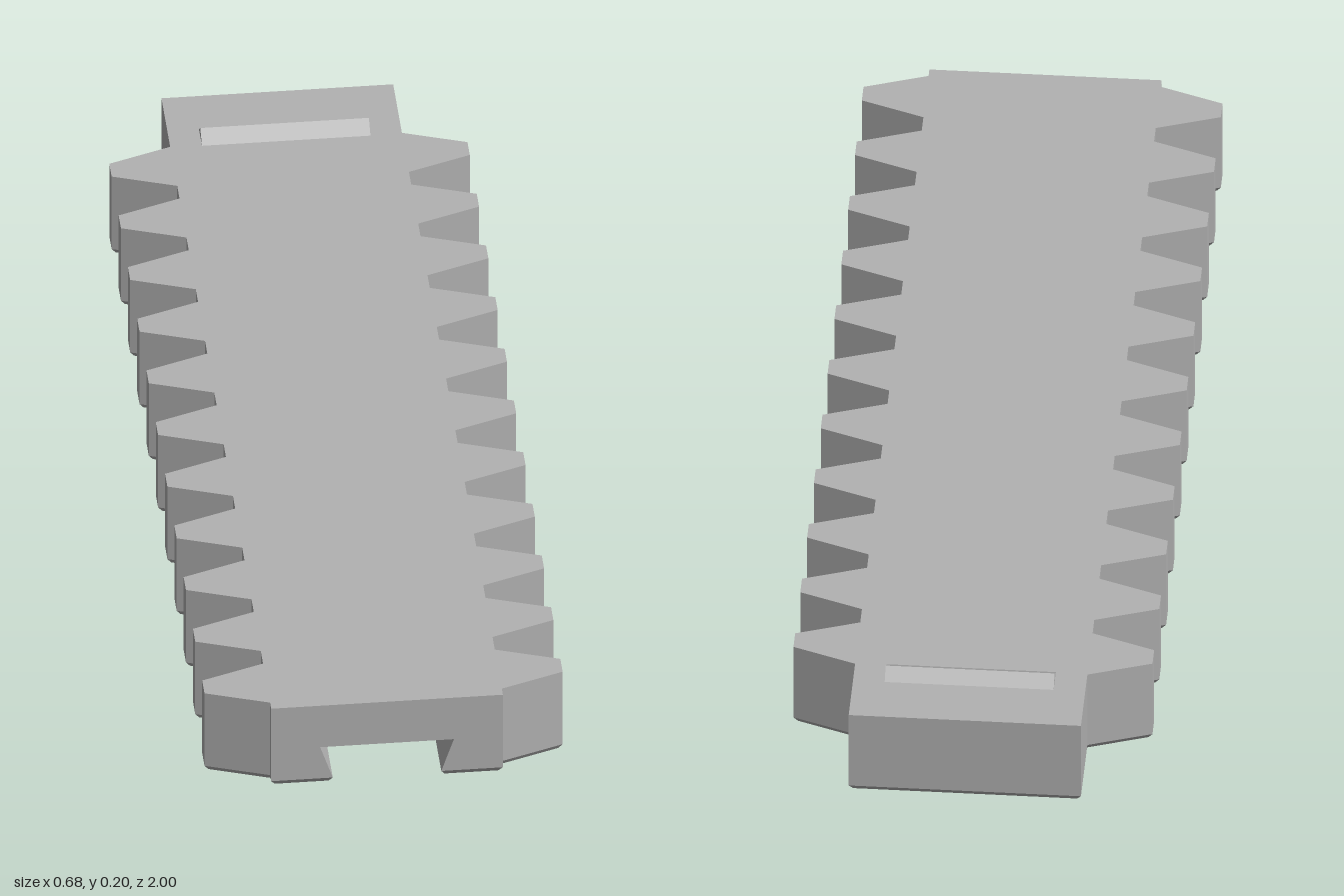
import * as THREE from 'three';

const HALF_W = 0.22, TIP_X = 0.34, TOP = 0.18, CHAMFER = 0.012;
const TEETH = 11, FIRST = -0.777, PITCH = 0.1693, ROOT = 0.064, TIP = 0.021;
const SLOT_END = -0.75, SLOT_TOP = 0.084;

// Toothed outline as [x, z], counter-clockwise from above, shrunk by d
function toothedOutline(d) {
  const right = [[HALF_W - d, 1 - d]];
  for (let i = TEETH - 1; i >= 0; i--) {
    const z = FIRST + i * PITCH, root = ROOT - 0.7 * d, tip = TIP - 0.7 * d;
    right.push([HALF_W - d, z + root], [TIP_X - d, z + tip], [TIP_X - d, z - tip], [HALF_W - d, z - root]);
  }
  right.push([HALF_W - d, -1 + d]);
  const left = right.map(([x, z]) => [-x, z]).reverse();
  return [...right, ...left];
}

// Notch cut into the front edge, continuing the outline
function slotOutline(half, end, front) {
  return [[-half, front], [-half, end], [half, end], [half, front]];
}

function buildBody() {
  const pos = [];
  const tri = (...points) => points.forEach((p) => pos.push(...p));
  const quad = (a, b, c, d) => tri(a, b, c, a, c, d);
  const at = ([x, z], y) => [x, y, z];

  // walls between two matching closed loops
  const walls = (low, y0, high, y1) => low.forEach((p, i) => {
    const j = (i + 1) % low.length;
    quad(at(p, y0), at(low[j], y0), at(high[j], y1), at(high[i], y1));
  });
  // flat cap facing up or down
  const cap = (loop, y, up) => {
    const flat = loop.map(([x, z]) => new THREE.Vector2(x, -z));
    for (const [a, b, c] of THREE.ShapeUtils.triangulateShape(flat, [])) {
      const order = up ? [a, b, c] : [a, c, b];
      tri(...order.map((k) => at(loop[k], y)));
    }
  };

  const full = toothedOutline(0);
  const inset = 0.008;
  const foot = [...toothedOutline(inset), ...slotOutline(0.11, SLOT_END - inset, 1 - inset)];
  const lip = [...full, ...slotOutline(0.103, SLOT_END, 1)];
  const shoulder = [...full, ...slotOutline(0.127, SLOT_END, 1)];

  cap(foot, 0, false);
  walls(foot, 0, lip, CHAMFER);                 // bottom chamfer
  walls(lip, CHAMFER, shoulder, SLOT_TOP);      // sides and undercut slot
  walls(full, SLOT_TOP, full, TOP);             // sides above the slot
  cap(full, TOP, true);
  const ceiling = slotOutline(0.127, SLOT_END, 1).map((p) => at(p, SLOT_TOP));
  quad(...ceiling);                             // slot ceiling, facing down

  const geometry = new THREE.BufferGeometry();
  geometry.setAttribute('position', new THREE.Float32BufferAttribute(pos, 3));
  geometry.computeVertexNormals();
  return geometry;
}

// Small triangular catch across the rear of the top
function buildCatch() {
  const profile = new THREE.Shape([
    new THREE.Vector2(0.838, 0), new THREE.Vector2(0.893, 0), new THREE.Vector2(0.868, 0.02),
  ]);
  const geometry = new THREE.ExtrudeGeometry(profile, { depth: 0.32, bevelEnabled: false });
  return geometry.translate(0, 0, -0.16).rotateY(Math.PI / 2).rotateY(0);
}

export function createModel() {
  const grey = new THREE.MeshStandardMaterial({ color: 0xb2b2b2 });
  grey.name = 'grey';
  grey.flatShading = true;

  const model = new THREE.Group();
  model.name = 'toothedRack';

  const body = new THREE.Mesh(buildBody(), grey);
  body.name = 'rackBody';

  const catchRidge = new THREE.Mesh(buildCatch(), grey);
  catchRidge.name = 'catchRidge';
  catchRidge.position.y = TOP;

  model.add(body, catchRidge);
  return model;
}
